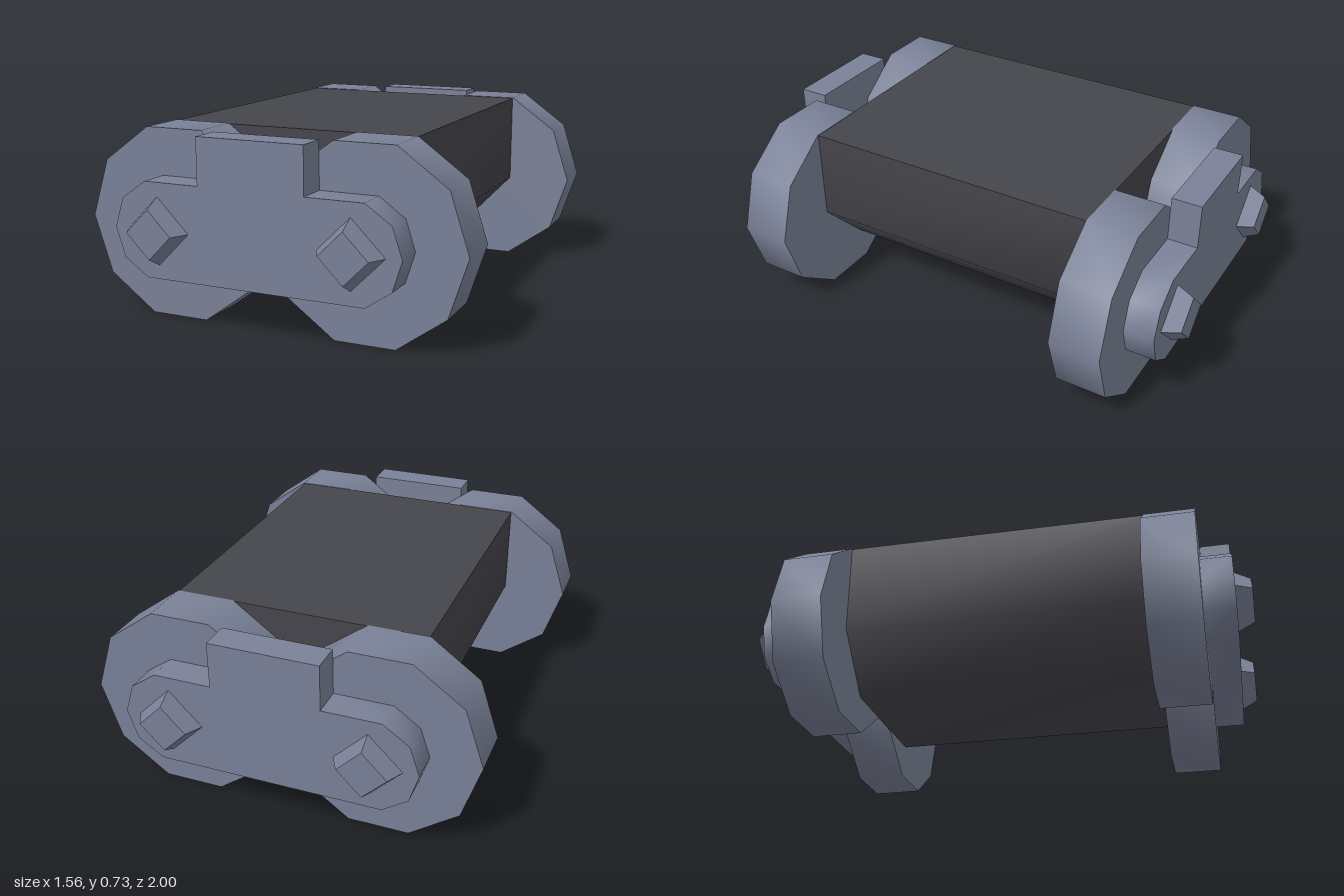
import * as THREE from 'three';
import { toCreasedNormals } from 'three/addons/utils/BufferGeometryUtils.js';

const CREASE = 0.9;

// Extrude a profile that is symmetric in x; only its right half is listed, top to bottom
function extrudeMirrored(half, z0, z1) {
  const left = half.map(([x, y]) => [-x, y]).reverse();
  const shape = new THREE.Shape([...half, ...left].map(([x, y]) => new THREE.Vector2(x, y)));
  const geo = new THREE.ExtrudeGeometry(shape, { depth: z1 - z0, bevelEnabled: false });
  geo.translate(0, 0, z0);
  return toCreasedNormals(geo, CREASE);
}

// Polygonal disc or frustum along z, with a corner pointing to +x
function prism(rFront, rBack, z0, z1, sides) {
  const geo = new THREE.CylinderGeometry(rFront, rBack, z1 - z0, sides, 1, false, Math.PI / 2);
  geo.rotateX(Math.PI / 2);
  geo.translate(0, 0, (z0 + z1) / 2);
  return toCreasedNormals(geo, CREASE);
}

export function createModel() {
  const steel = new THREE.MeshStandardMaterial({ color: 0x7a8197 });
  steel.name = 'blue grey steel';
  const dark = new THREE.MeshStandardMaterial({ color: 0x45454c });
  dark.name = 'dark grey';

  const model = new THREE.Group();
  model.name = 'model';
  const add = (parent, name, geo, material, x = 0, y = 0) => {
    const mesh = new THREE.Mesh(geo, material);
    mesh.name = name;
    mesh.position.set(x, y, 0);
    parent.add(mesh);
  };

  // Central block with chamfered lower edges
  add(model, 'body', extrudeMirrored([[0.505, 0.73], [0.505, 0.36], [0.3, 0.145]], -0.61, 0.61), dark);

  const plate = extrudeMirrored([
    [0.215, 0.731], [0.215, 0.55], [0.443, 0.55], [0.543, 0.48],
    [0.58, 0.365], [0.543, 0.25], [0.443, 0.182],
  ], 0.81, 0.93);
  const wheel = prism(0.385, 0.385, 0.607, 0.81, 10);
  const bolt = prism(0.095, 0.13, 0.93, 0.995, 4);

  // The same wheel assembly at both ends
  for (const [name, turn] of [['frontEnd', 0], ['backEnd', Math.PI]]) {
    const end = new THREE.Group();
    end.name = name;
    end.rotation.y = turn;
    add(end, 'linkPlate', plate, steel);
    for (const side of [-1, 1]) {
      add(end, 'wheel', wheel, steel, side * 0.389, 0.366);
      add(end, 'bolt', bolt, steel, side * 0.39, 0.366);
    }
    model.add(end);
  }

  // Very slight yaw of the whole assembly
  model.rotation.y = -0.007;
  return model;
}
